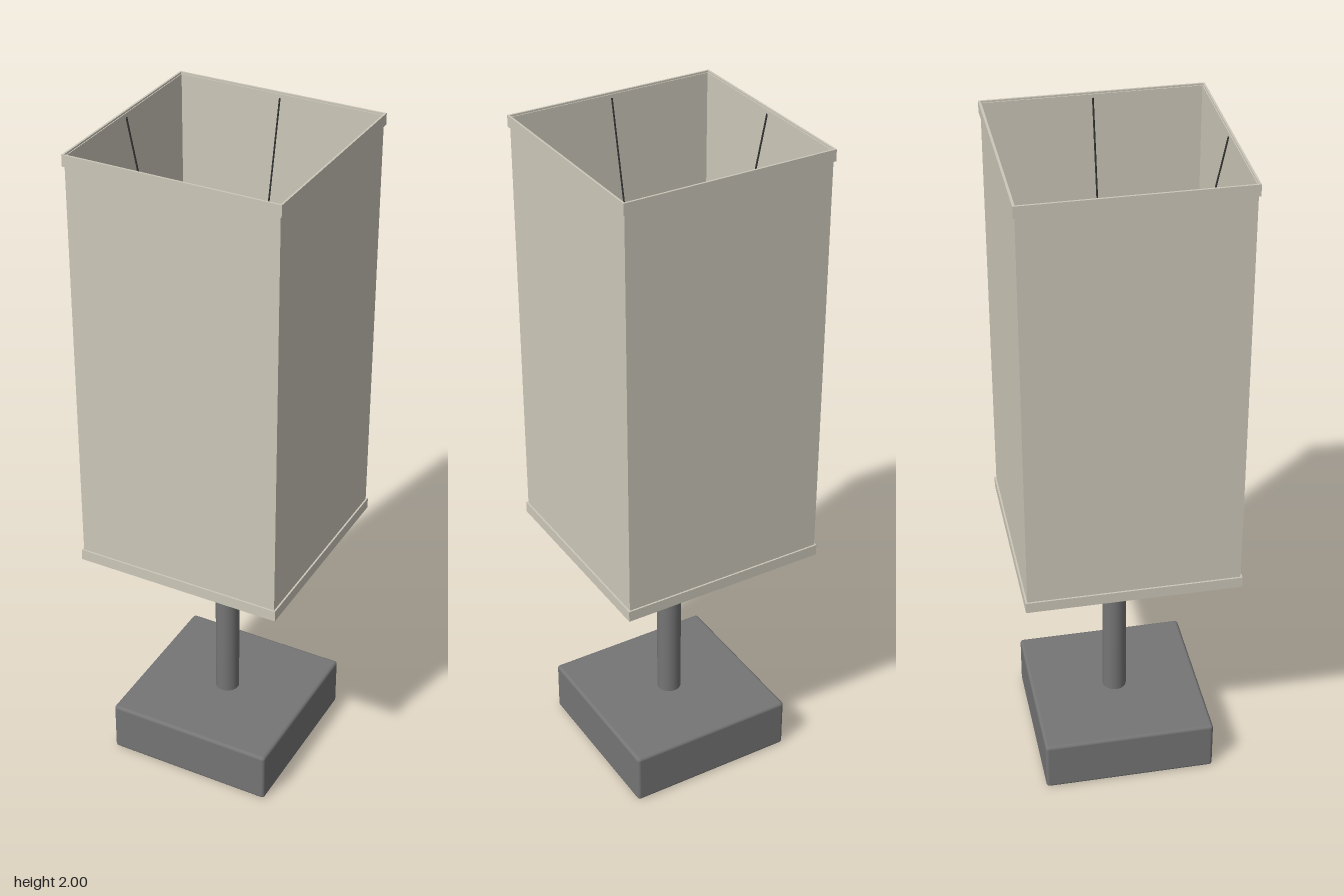
import * as THREE from 'three';
import { RoundedBoxGeometry } from 'three/addons/geometries/RoundedBoxGeometry.js';

const mat = (name, color) => {
  const m = new THREE.MeshStandardMaterial({ color });
  m.name = name;
  return m;
};

export function createModel() {
  const lamp = new THREE.Group();
  lamp.name = 'tableLamp';
  const fabric = mat('cream fabric', 0xcdc8ba);
  const metal = mat('grey metal', 0x757575);
  const black = mat('black plastic', 0x161616);
  const wire = mat('dark wire', 0x333333);
  const ceramic = mat('pale socket', 0xd8d3c4);

  const add = (name, geometry, material) => {
    const mesh = new THREE.Mesh(geometry, material);
    mesh.name = name;
    lamp.add(mesh);
    return mesh;
  };

  // Open square tube standing between two heights
  const squareTube = (outer, inner, y0, y1) => {
    const square = (Kind, r) => new Kind([[-r, -r], [r, -r], [r, r], [-r, r]]
      .map(([x, y]) => new THREE.Vector2(x, y)));
    const shape = square(THREE.Shape, outer);
    shape.holes.push(square(THREE.Path, inner));
    return new THREE.ExtrudeGeometry(shape, { depth: y1 - y0, bevelEnabled: false })
      .rotateX(-Math.PI / 2).translate(0, y0, 0);
  };

  const lathe = (points) =>
    new THREE.LatheGeometry(points.map(([x, y]) => new THREE.Vector2(x, y)), 40);

  // Base and pole
  add('base', new RoundedBoxGeometry(0.514, 0.16, 0.514, 3, 0.01), metal).position.y = 0.08;
  add('pole', new THREE.CylinderGeometry(0.036, 0.036, 0.82, 32), metal).position.y = 0.56;

  // Shade with a raised trim at each end
  add('shade', squareTube(0.305, 0.302, 0.74, 1.995), fabric);
  add('bottomTrim', squareTube(0.31, 0.3045, 0.735, 0.768), fabric);
  add('topTrim', squareTube(0.31, 0.3045, 1.967, 2), fabric);

  // Black collar and clamping ring under the socket
  add('collar', new THREE.CylinderGeometry(0.062, 0.055, 0.05, 32), black).position.y = 0.955;
  add('clampRing', lathe([
    [0.03, 0.97], [0.094, 0.97], [0.102, 0.978], [0.102, 0.99], [0.094, 1.0], [0.03, 1.0],
  ]), black);

  // Hollow socket cup
  add('socket', lathe([
    [0.078, 0.995], [0.078, 1.17], [0.082, 1.175], [0.082, 1.19], [0.078, 1.195],
    [0.07, 1.195], [0.068, 1.185], [0.068, 1.06], [0, 1.06],
  ]), ceramic);

  // Four wires from the ring up to the top of the shade
  for (let i = 0; i < 4; i++) {
    const path = new THREE.LineCurve3(
      new THREE.Vector3(0.095, 0.988, 0), new THREE.Vector3(0.302, 1.985, 0));
    add('shadeWire' + (i + 1), new THREE.TubeGeometry(path, 1, 0.0025, 8), wire)
      .rotation.y = i * Math.PI / 2;
  }
  return lamp;
}
